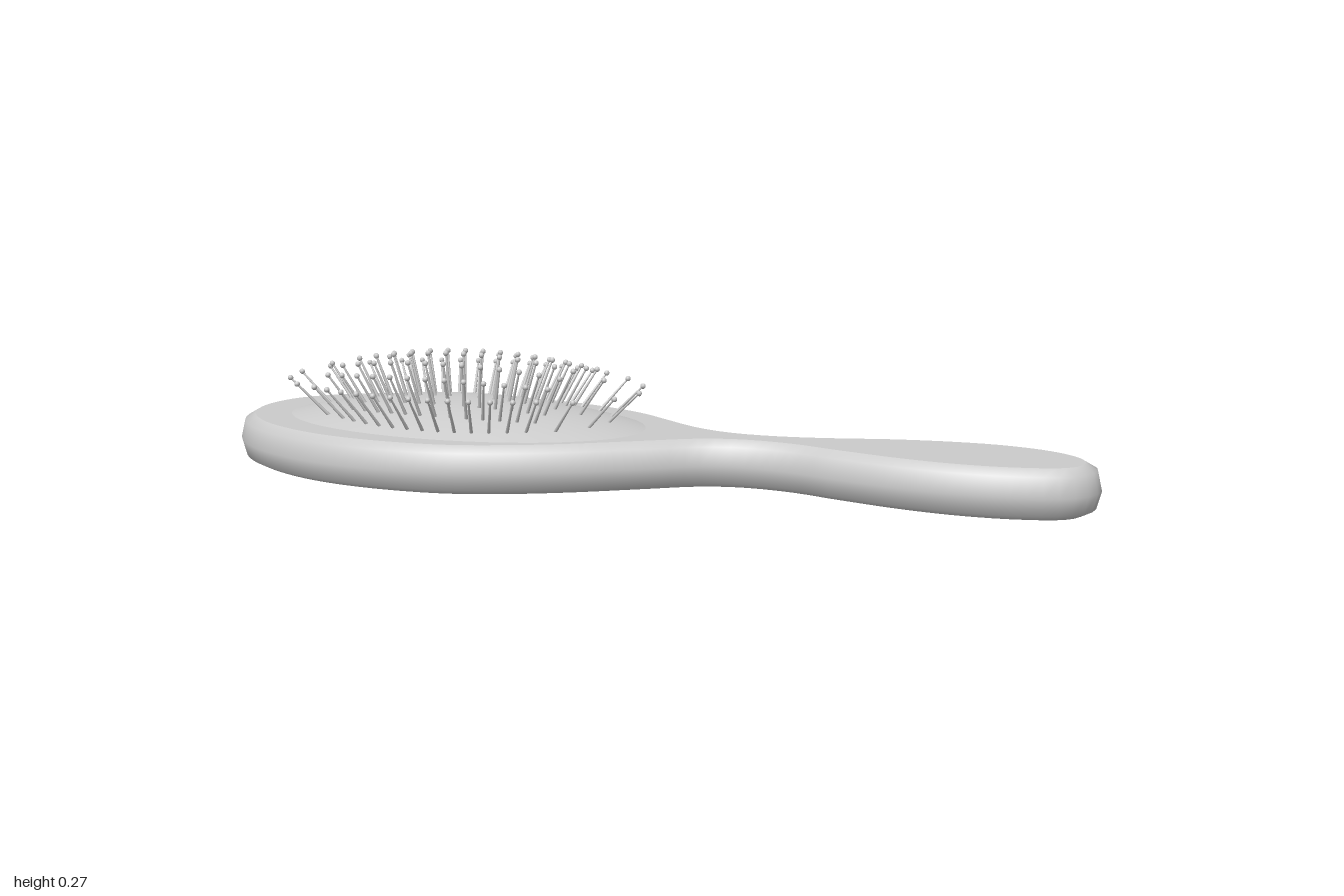
import * as THREE from 'three';
import { mergeGeometries } from 'three/addons/utils/BufferGeometryUtils.js';

const material = new THREE.MeshStandardMaterial({ color: 0xcccccc });
const CX = -0.435, RX = 0.44, RZ = 0.24, TOP = 0.108, DOME = 0.052;

// Outline of head, neck and handle seen from above, as x, z pairs
const OUTLINE = [
  -1, 0, -0.97, -0.12, -0.87, -0.22, -0.75, -0.28, -0.6, -0.315, -0.43, -0.33, -0.28, -0.316,
  -0.15, -0.28, -0.05, -0.235, 0.03, -0.18, 0.12, -0.12, 0.2, -0.093, 0.3, -0.092, 0.4, -0.11,
  0.55, -0.15, 0.7, -0.17, 0.8, -0.167, 0.9, -0.14, 0.97, -0.09, 1, -0.03,
  0.99, 0.03, 0.95, 0.075, 0.85, 0.108, 0.73, 0.118, 0.6, 0.105, 0.45, 0.07, 0.35, 0.042,
  0.25, 0.035, 0.17, 0.053, 0.05, 0.125, -0.08, 0.205, -0.2, 0.265, -0.33, 0.31,
  -0.47, 0.325, -0.62, 0.315, -0.75, 0.28, -0.88, 0.21, -0.97, 0.11,
];
// Edge cross-section: inset, height
const EDGE = [[0.034, 0], [0.01, 0.013], [0, 0.052], [0.01, 0.094], [0.034, TOP]];

function createBody() {
  const group = new THREE.Group();
  group.name = 'body';
  const points = [];
  for (let i = 0; i < OUTLINE.length; i += 2) points.push(new THREE.Vector3(OUTLINE[i], 0, OUTLINE[i + 1]));
  const curve = new THREE.CatmullRomCurve3(points, true);
  const n = 140;
  const positions = [], index = [];
  const rim = [];
  EDGE.forEach(([inset, y], j) => {
    for (let i = 0; i < n; i++) {
      const p = curve.getPointAt(i / n), t = curve.getTangentAt(i / n);
      const x = p.x - t.z * inset, z = p.z + t.x * inset;
      positions.push(x, y, z);
      if (j === 0) rim.push([x, z]);
      if (j < EDGE.length - 1) {
        const a = j * n + i, b = j * n + (i + 1) % n;
        index.push(a, a + n, b, b, a + n, b + n);
      }
    }
  });
  const side = new THREE.BufferGeometry();
  side.setAttribute('position', new THREE.Float32BufferAttribute(positions, 3));
  side.setIndex(index);
  side.computeVertexNormals();
  const sideMesh = new THREE.Mesh(side, material);
  sideMesh.name = 'roundedEdge';
  group.add(sideMesh);

  // Flat faces closing the rounded edge
  for (const [name, s, y] of [['topFace', -1, TOP], ['backFace', 1, 0]]) {
    const shape = new THREE.Shape(rim.map(([x, z]) => new THREE.Vector2(x, s * z)));
    const geometry = new THREE.ShapeGeometry(shape).rotateX(s * Math.PI / 2).translate(0, y, 0);
    const mesh = new THREE.Mesh(geometry, material);
    mesh.name = name;
    group.add(mesh);
  }
  return group;
}

const domeHeight = (dx, dz) => TOP + DOME * (1 - (dx / RX) ** 2 - (dz / RZ) ** 2);

function createCushion() {
  const profile = [];
  for (let i = 0; i <= 12; i++) {
    const r = 1 - i / 12;
    profile.push(new THREE.Vector2(r, DOME * (1 - r * r)));
  }
  const geometry = new THREE.LatheGeometry(profile, 48).scale(RX, 1, RZ).translate(CX, TOP, 0);
  const mesh = new THREE.Mesh(geometry, material);
  mesh.name = 'cushion';
  return mesh;
}

function createBristles() {
  const group = new THREE.Group();
  group.name = 'bristles';
  // Base points relative to the cushion centre
  const bases = [];
  for (const row of [0, 0.08, 0.148, 0.21]) {
    for (let i = -6; i <= 6; i++) {
      const z = row * Math.sqrt(1 - (0.65 * i / 6) ** 2);
      bases.push([i * 0.038, z]);
      if (row) bases.push([i * 0.038, -z]);
    }
  }
  // Extra pins around both ends
  for (const s of [-1, 1]) {
    for (const [x, z] of [[0.29, 0], [0.36, 0], [0.34, 0.07], [0.34, -0.07], [0.285, 0.13], [0.285, -0.13]]) bases.push([s * x, z]);
  }
  const length = 0.105, up = new THREE.Vector3(0, 1, 0);
  const pins = [], tips = [];
  for (const [dx, dz] of bases) {
    const lean = new THREE.Vector3(dx * 0.21, 0, dz * 0.3);
    lean.y = Math.sqrt(length ** 2 - lean.lengthSq());
    const base = new THREE.Vector3(CX + dx, domeHeight(dx, dz), dz);
    const turn = new THREE.Quaternion().setFromUnitVectors(up, lean.clone().normalize());
    const matrix = new THREE.Matrix4().compose(base, turn, new THREE.Vector3(1, 1, 1));
    // Each pin starts slightly inside the cushion
    pins.push(new THREE.CylinderGeometry(0.002, 0.004, length + 0.01, 6, 1, true)
      .translate(0, length / 2 - 0.005, 0).applyMatrix4(matrix));
    tips.push(new THREE.SphereGeometry(0.0065, 8, 6).translate(0, length - 0.005, 0).applyMatrix4(matrix));
  }
  for (const [name, parts] of [['pins', pins], ['ballTips', tips]]) {
    const mesh = new THREE.Mesh(mergeGeometries(parts), material);
    mesh.name = name;
    group.add(mesh);
  }
  return group;
}

export function createModel() {
  const model = new THREE.Group();
  model.name = 'hairbrush';
  model.add(createBody(), createCushion(), createBristles());
  return model;
}
